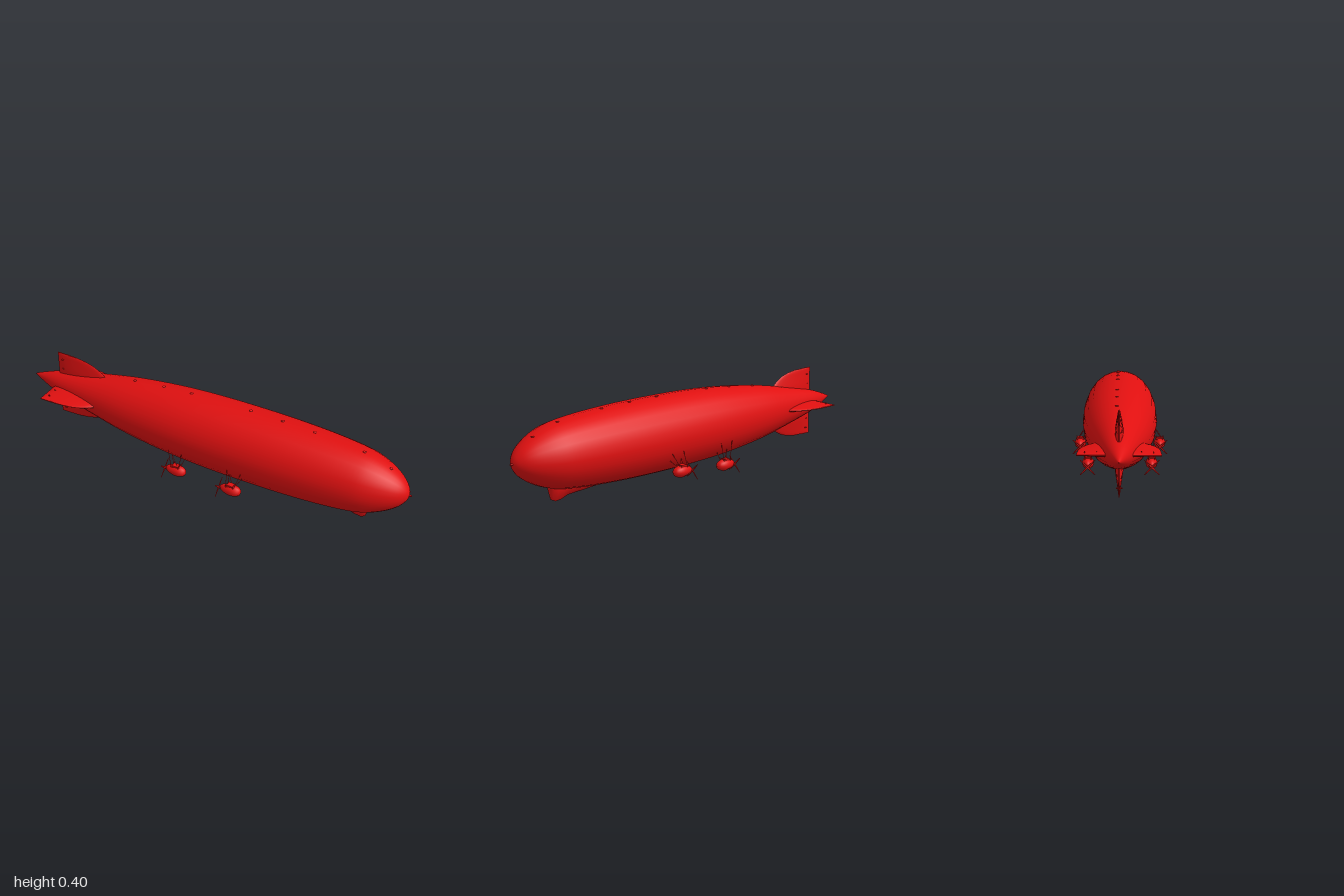
import * as THREE from 'three';
import { toCreasedNormals } from 'three/addons/utils/BufferGeometryUtils.js';

const AXIS_Y = 0.22;
const V = (x, y, z) => new THREE.Vector3(x, y, z);

export function createModel() {
  const red = new THREE.MeshStandardMaterial({ color: 0xe01010 });
  red.name = 'red';
  const model = new THREE.Group();
  model.name = 'airship';

  function add(parent, name, geometry, x = 0, y = 0, z = 0) {
    const mesh = new THREE.Mesh(geometry, red);
    mesh.name = name;
    mesh.position.set(x, y, z);
    parent.add(mesh);
    return mesh;
  }

  // Skin a row of closed rings (counter-clockwise about the loft direction) and cap both ends
  function loft(rings, crease) {
    const n = rings[0].length, last = rings.length - 1;
    const pos = [], idx = [];
    rings.forEach(ring => ring.forEach(p => pos.push(p.x, p.y, p.z)));
    for (let i = 0; i < last; i++) {
      for (let j = 0; j < n; j++) {
        const a = i * n + j, b = i * n + (j + 1) % n;
        idx.push(a, b, b + n, a, b + n, a + n);
      }
    }
    for (const i of [0, last]) {
      const c = rings[i].reduce((s, p) => s.add(p), V(0, 0, 0)).divideScalar(n);
      const ci = pos.length / 3;
      pos.push(c.x, c.y, c.z);
      for (let j = 0; j < n; j++) {
        const a = i * n + j, b = i * n + (j + 1) % n;
        if (i === 0) idx.push(ci, b, a); else idx.push(ci, a, b);
      }
    }
    const g = new THREE.BufferGeometry();
    g.setAttribute('position', new THREE.Float32BufferAttribute(pos, 3));
    g.setIndex(idx);
    return toCreasedNormals(g, crease);
  }

  // Body of revolution along x from [x, radius] pairs
  function spindle(profile, steps, sides) {
    const curve = new THREE.SplineCurve(profile.map(([x, r]) => new THREE.Vector2(r, x)));
    const pts = curve.getPoints(steps);
    pts.forEach(p => { p.x = Math.max(p.x, 0); });
    return new THREE.LatheGeometry(pts, sides).rotateZ(-Math.PI / 2);
  }

  function rod(parent, name, a, b, r) {
    const m = add(parent, name, new THREE.CylinderGeometry(r, r, a.distanceTo(b), 6));
    m.position.copy(a).add(b).multiplyScalar(0.5);
    m.quaternion.setFromUnitVectors(V(0, 1, 0), b.clone().sub(a).normalize());
  }

  // Hull
  const hull = [[-1, 0], [-0.95, 0.021], [-0.83, 0.06], [-0.6, 0.107], [-0.42, 0.138], [-0.2, 0.162],
    [0, 0.173], [0.2, 0.176], [0.4, 0.174], [0.6, 0.165], [0.75, 0.15], [0.83, 0.131],
    [0.9, 0.1], [0.95, 0.066], [0.98, 0.03], [0.99, 0]];
  add(model, 'hull', spindle(hull, 64, 24), 0, AXIS_Y, 0);
  add(model, 'noseFitting', new THREE.CylinderGeometry(0.004, 0.005, 0.016, 8).rotateZ(-Math.PI / 2), 0.992, AXIS_Y, 0);

  // Valve caps along the ridge
  const curve = x => {
    const i = hull.findIndex(p => p[0] >= x);
    const [x0, r0] = hull[i - 1], [x1, r1] = hull[i];
    return r0 + (r1 - r0) * (x - x0) / (x1 - x0);
  };
  for (const x of [-0.42, -0.26, -0.11, 0.2, 0.36, 0.52, 0.76, 0.89]) {
    add(model, 'ridgeValve', new THREE.SphereGeometry(0.008, 8, 6).scale(1, 0.5, 1), x, AXIS_Y + curve(x), -0.011);
  }

  // Tail fins: [distance from axis, leading edge x, half thickness]
  const finSections = [[0.03, -0.53, 0.02], [0.08, -0.555, 0.018], [0.105, -0.577, 0.0145], [0.13, -0.607, 0.01],
    [0.15, -0.645, 0.007], [0.163, -0.69, 0.005], [0.17, -0.74, 0.003], [0.171, -0.78, 0.002]];
  const finRings = finSections.map(([r, lead, half]) => {
    const ring = [], mid = (lead - 0.85) / 2, chord = (lead + 0.85) / 2;
    for (let j = 0; j < 20; j++) {
      const a = j / 20 * Math.PI * 2;
      ring.push(V(mid + chord * Math.cos(a), r, -half * Math.sin(a)));
    }
    return ring;
  });
  const finGeometry = loft(finRings, 0.7);
  ['upperFin', 'leftFin', 'lowerFin', 'rightFin'].forEach((name, k) => {
    const fin = new THREE.Group();
    fin.name = name;
    fin.position.y = AXIS_Y;
    fin.rotation.x = k * Math.PI / 2;
    add(fin, 'finBlade', finGeometry);
    add(fin, 'finTrailingFlap', new THREE.BoxGeometry(0.06, 0.115, 0.004), -0.82, 0.1145, 0);
    for (const r of [0.09, 0.14]) add(fin, 'controlHorn', new THREE.BoxGeometry(0.008, 0.003, 0.026), -0.82, r, 0);
    model.add(fin);
  });

  // Control car: [x, bottom, top, half width]
  const carHalf = [[1, 0.8], [0.75, 1], [0.5, 0.95], [0.28, 0.65], [0.1, 0.4], [0, 0.18]];
  const carOutline = [...carHalf, ...carHalf.map(([y, z]) => [y, -z]).reverse()];
  const carRings = [[0.44, 0.055, 0.075, 0.008], [0.55, 0.044, 0.09, 0.024], [0.64, 0.038, 0.1, 0.031],
    [0.71, 0.034, 0.11, 0.034], [0.745, 0.021, 0.115, 0.034], [0.775, 0.017, 0.12, 0.032],
    [0.795, 0.026, 0.13, 0.027], [0.806, 0.06, 0.14, 0.018]]
    .map(([x, b, t, w]) => carOutline.map(([fy, fz]) => V(x, b + (t - b) * fy, w * fz)));
  add(model, 'controlCar', loft(carRings, 0.8));

  // Engine cars, each with struts and a four-bladed pusher propeller
  const podGeometry = spindle([[-0.055, 0], [-0.05, 0.01], [-0.03, 0.021], [0, 0.0275], [0.025, 0.026],
    [0.045, 0.016], [0.053, 0]], 18, 10);
  function engineCar(name, x, y, z, side, anchors) {
    const car = new THREE.Group();
    car.name = name;
    car.position.set(x, y, z * side);
    add(car, 'engineCarBody', podGeometry);
    add(car, 'engineCowl', new THREE.BoxGeometry(0.03, 0.012, 0.026), 0, 0.024, 0);
    rod(car, 'propellerShaft', V(-0.066, -0.009, 0), V(-0.04, -0.009, 0), 0.004);
    for (let k = 0; k < 4; k++) {
      const blade = add(car, 'propellerBlade',
        new THREE.CylinderGeometry(0.002, 0.005, 0.049, 6).scale(0.5, 1, 1).translate(0, 0.0245, 0), -0.062, -0.009, 0);
      blade.rotation.x = Math.PI / 4 + k * Math.PI / 2;
    }
    for (const sx of [-1, 1]) {
      for (const sz of [-1, 1]) {
        rod(car, 'topFitting', V(sx * 0.018, 0.018, sz * 0.014), V(sx * 0.018, 0.033, sz * 0.017), 0.0018);
        const [ay, az] = anchors[sz < 0 ? 0 : 1];
        rod(car, 'strut', V(sx * 0.02, 0.02, sz * side * 0.012),
          V(sx * 0.035, ay - y, (az - z) * side), 0.0013);
      }
    }
    rod(car, 'braceWire', V(0.02, 0.02, 0.012 * side), V(-0.035, anchors[0][0] - y, (anchors[0][1] - z) * side), 0.001);
    model.add(car);
  }
  for (const side of [1, -1]) {
    const word = side > 0 ? 'front' : 'back';
    engineCar(word + 'LowerEngineCar', -0.108, 0.045, 0.147, side, [[0.112, 0.122], [0.155, 0.156]]);
    engineCar(word + 'UpperEngineCar', 0.207, 0.083, 0.193, side, [[0.13, 0.142], [0.165, 0.164]]);
  }
  return model;
}
